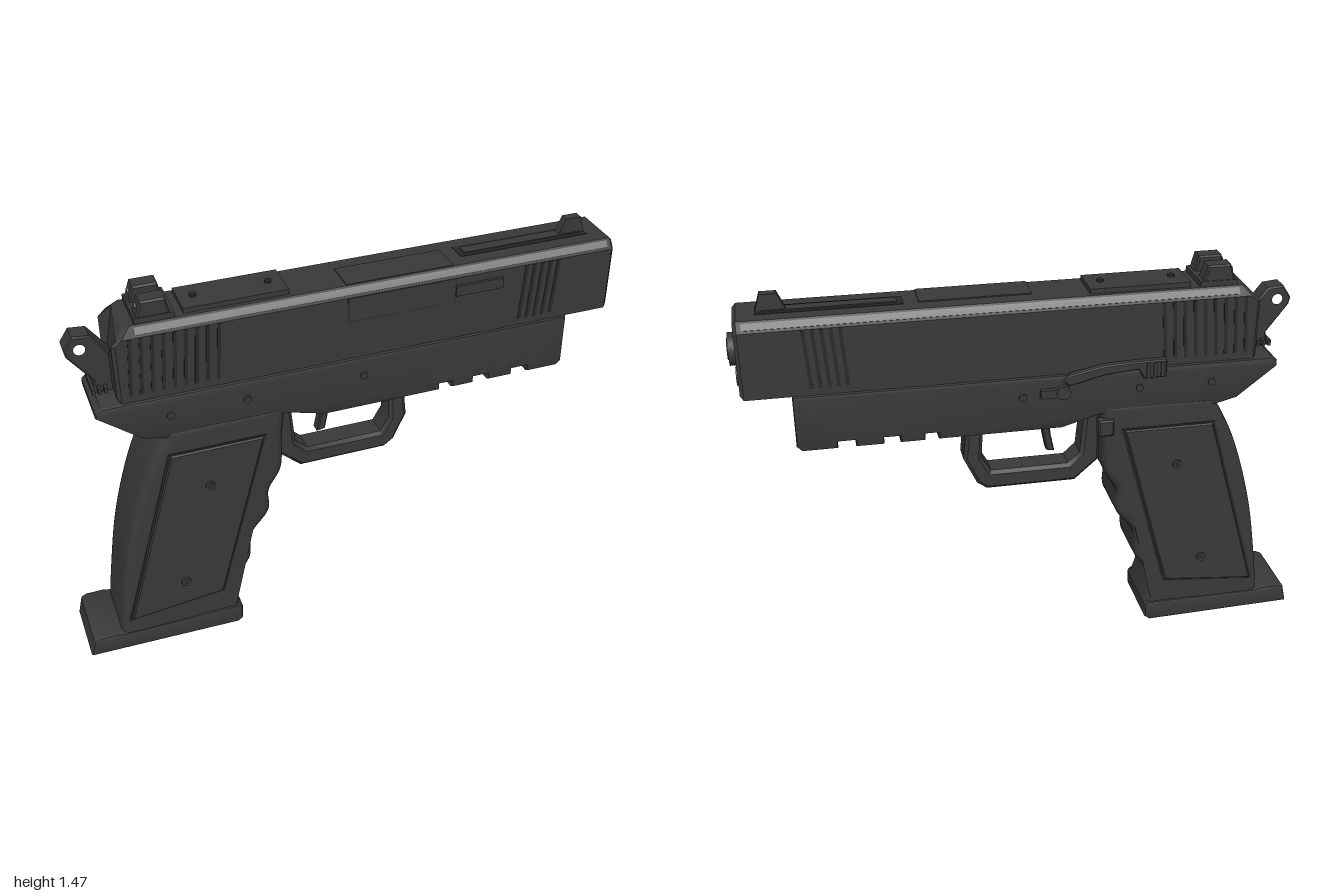
import * as THREE from 'three';
import { toCreasedNormals } from 'three/addons/utils/BufferGeometryUtils.js';

const paint = (name, color) => {
  const m = new THREE.MeshStandardMaterial({ color });
  m.name = name;
  return m;
};

export function createModel() {
  const gun = new THREE.Group();
  gun.name = 'pistol';
  const body = paint('dark grey', 0x393939);
  const dark = paint('groove grey', 0x292929);
  const edge = paint('worn edge grey', 0x777777);

  const add = (name, geo, mat = body) => {
    const m = new THREE.Mesh(geo, mat);
    m.name = name;
    gun.add(m);
    return m;
  };
  const outline = (pts) => new THREE.Shape(pts.map(([x, y]) => new THREE.Vector2(x, y)));

  // Side outline extruded from z0 to z1, with bevels kept inside the outline
  const slab = (name, shape, z0, z1, bevel = 0, mat = body, segments = 1) => {
    const s = Array.isArray(shape) ? outline(shape) : shape;
    const geo = new THREE.ExtrudeGeometry(s, {
      depth: z1 - z0 - 2 * bevel, bevelEnabled: bevel > 0, bevelThickness: bevel,
      bevelSize: bevel, bevelOffset: -bevel, bevelSegments: segments, curveSegments: 10,
    });
    geo.translate(0, 0, z0 + bevel);
    return add(name, toCreasedNormals(geo, 0.6), mat);
  };
  const box = (name, x0, x1, y0, y1, z0, z1, mat = body) => {
    const geo = new THREE.BoxGeometry(x1 - x0, y1 - y0, z1 - z0);
    geo.translate((x0 + x1) / 2, (y0 + y1) / 2, (z0 + z1) / 2);
    return add(name, geo, mat);
  };
  const pin = (name, x, y, z, r, length, mat = body) => {
    const geo = new THREE.CylinderGeometry(r, r, length, 14);
    geo.rotateX(Math.PI / 2).translate(x, y, z);
    return add(name, geo, mat);
  };

  // Slide: chamfered section swept along x, with its upper rear sloped forward
  const half = [[0.11, 1.13], [0.11, 1.34], [0.11, 1.362], [0.085, 1.395]];
  const section = outline([...half, ...half.map(([z, y]) => [-z, y]).reverse()]);
  const slideGeo = new THREE.ExtrudeGeometry(section, {
    depth: 1.74, bevelThickness: 0.012, bevelSize: 0.012, bevelOffset: -0.012, bevelSegments: 1,
  });
  slideGeo.rotateY(Math.PI / 2).translate(-0.78, 0, 0);
  const p = slideGeo.attributes.position;
  for (let i = 0; i < p.count; i++) {
    if (p.getX(i) < 0 && p.getY(i) > 1.34) p.setX(i, p.getX(i) + p.getY(i) - 1.34);
  }
  slideGeo.computeVertexNormals();
  add('slide', slideGeo);

  // Worn strips on the long chamfers
  for (const s of [-1, 1]) {
    const strip = add('slideEdge', new THREE.BoxGeometry(1.66, 0.004, 0.024), edge);
    strip.position.set(0.115, 1.3795, s * 0.098);
    strip.rotation.x = s * 0.92;
  }

  // Slanted grip grooves on both sides of the slide
  for (const s of [-1, 1]) {
    const z0 = s > 0 ? 0.108 : -0.112;
    const groove = (x, y1) => slab('slideGroove',
      [[x, 1.155], [x + 0.012, 1.155], [x + 0.026, y1], [x + 0.014, y1]], z0, z0 + 0.004, 0, dark);
    for (let i = 0; i < 9; i++) groove(-0.755 + i * 0.036, 1.36);
    for (let i = 0; i < 5; i++) groove(0.615 + i * 0.03, 1.36);
  }

  // Ejection port, extractor and top details
  box('portSide', -0.01, 0.37, 1.275, 1.362, 0.106, 0.114);
  box('portTop', -0.01, 0.37, 1.392, 1.399, -0.03, 0.085);
  box('portSeam', -0.014, 0.374, 1.271, 1.362, 0.108, 0.112, dark);
  box('extractor', 0.37, 0.545, 1.297, 1.335, 0.105, 0.12);
  box('topChannel', 0.42, 0.9, 1.392, 1.397, -0.035, 0.035, dark);
  box('topChannelRib', 0.44, 0.88, 1.392, 1.401, -0.02, 0.02);
  box('sightPlate', -0.55, -0.2, 1.39, 1.412, -0.07, 0.07);
  for (const x of [-0.5, -0.25]) {
    const geo = new THREE.CylinderGeometry(0.012, 0.012, 0.012, 12);
    add('plateScrew', geo.translate(x, 1.414, 0), dark);
  }

  // Sights
  slab('frontSight', [[0.795, 1.39], [0.9, 1.39], [0.88, 1.455], [0.825, 1.455]], -0.016, 0.016);
  box('rearSightBase', -0.71, -0.58, 1.385, 1.415, -0.083, 0.083);
  for (const s of [-1, 1]) {
    slab('rearSightPost', [[-0.71, 1.39], [-0.585, 1.39], [-0.605, 1.468], [-0.685, 1.468]],
      s * 0.05 - 0.03, s * 0.05 + 0.03, 0.006);
    const dot = add('sightDot', new THREE.CylinderGeometry(0.009, 0.009, 0.006, 12), edge);
    dot.rotation.z = Math.PI / 2;
    dot.position.set(-0.696, 1.442, s * 0.05);
  }

  // Muzzle and guide rod end
  const disc = (name, x, y, r, length, mat) => {
    const geo = new THREE.CylinderGeometry(r, r, length, 28);
    add(name, geo.rotateZ(Math.PI / 2).translate(x, y, 0), mat);
  };
  disc('barrelEnd', 0.975, 1.27, 0.055, 0.04);
  disc('barrelBore', 0.996, 1.27, 0.036, 0.006, dark);
  disc('guideRod', 0.97, 1.172, 0.032, 0.02);

  // Hammer with a round eye
  const hammer = outline([[-0.93, 1.315], [-0.9, 1.36], [-0.845, 1.355], [-0.78, 1.27], [-0.78, 1.14],
    [-0.86, 1.14], [-0.85, 1.19], [-0.925, 1.29]]);
  hammer.holes.push(new THREE.Path().absarc(-0.88, 1.312, 0.024, 0, Math.PI * 2, true));
  slab('hammer', hammer, -0.035, 0.035, 0.005);
  for (let i = 0; i < 3; i++) box('hammerRidge', -0.862 + i * 0.02, -0.852 + i * 0.02, 1.15, 1.17, -0.06, 0.06);

  // Frame with accessory rail notches cut into its underside
  const rail = [];
  for (const [a, b] of [[0.33, 0.375], [0.46, 0.515], [0.61, 0.67]]) {
    rail.push([a, 0.928], [a, 0.952], [b, 0.952], [b, 0.928]);
  }
  slab('frame', [[-0.87, 1.095], [-0.73, 0.985], [-0.65, 0.965], [-0.23, 0.965], [-0.1, 0.928], ...rail,
    [0.79, 0.928], [0.807, 0.945], [0.807, 1.13], [-0.85, 1.13], [-0.87, 1.115]], -0.12, 0.12, 0.012, body, 2);

  // Trigger guard and trigger
  slab('triggerGuard', [[-0.255, 0.975], [-0.255, 0.755], [-0.165, 0.675], [0.155, 0.675], [0.19, 0.7],
    [0.237, 0.8], [0.222, 0.945], [0.165, 0.945], [0.172, 0.8], [0.14, 0.745], [-0.14, 0.745],
    [-0.183, 0.785], [-0.2, 0.97]], -0.05, 0.05, 0.012);
  slab('trigger', [[-0.075, 0.95], [-0.035, 0.95], [-0.045, 0.9], [-0.065, 0.795], [-0.095, 0.79],
    [-0.08, 0.86]], -0.022, 0.022, 0.005);

  // Grip: smooth back strap and finger waves down the front
  const grip = new THREE.Shape();
  grip.moveTo(-0.88, 0.14);
  grip.splineThru([[-0.87, 0.24], [-0.82, 0.54], [-0.74, 0.81], [-0.645, 1.0]].map((a) => new THREE.Vector2(...a)));
  grip.lineTo(-0.235, 1.0);
  grip.splineThru([[-0.25, 0.88], [-0.258, 0.74], [-0.305, 0.65], [-0.31, 0.56], [-0.375, 0.47], [-0.388, 0.36],
    [-0.45, 0.28], [-0.455, 0.23], [-0.43, 0.14]].map((a) => new THREE.Vector2(...a)));
  slab('grip', grip, -0.124, 0.124, 0.03, body, 4);

  // Grip panels, screws and frame pins on both sides
  for (const s of [-1, 1]) {
    const side = (name, pts, a, b, bevel, mat) => slab(name, pts, s > 0 ? a : -b, s > 0 ? b : -a, bevel, mat);
    side('gripPanelSeam', [[-0.652, 0.906], [-0.312, 0.906], [-0.496, 0.247], [-0.85, 0.212]], 0.12, 0.127, 0, dark);
    side('gripPanel', [[-0.645, 0.9], [-0.322, 0.9], [-0.5, 0.255], [-0.84, 0.22]], 0.115, 0.133, 0.005);
    for (const [x, y] of [[-0.52, 0.75], [-0.635, 0.345]]) {
      pin('gripScrew', x, y, s * 0.133, 0.017, 0.018);
      pin('screwSlot', x, y, s * 0.1405, 0.009, 0.004, dark);
    }
    for (const [x, y] of [[-0.63, 1.06], [-0.37, 1.06], [0.04, 1.06]]) pin('framePin', x, y, s * 0.12, 0.013, 0.016);
  }

  // Controls on the right side
  slab('slideStop', [[-0.46, 1.1], [-0.38, 1.1], [-0.36, 1.135], [-0.24, 1.125], [-0.12, 1.095], [-0.1, 1.11],
    [-0.12, 1.135], [-0.24, 1.16], [-0.36, 1.165], [-0.46, 1.165]], -0.14, -0.112, 0.004);
  for (let i = 0; i < 3; i++) box('slideStopRidge', -0.45 + i * 0.025, -0.437 + i * 0.025, 1.105, 1.16, -0.145, -0.138);
  box('takedownLever', -0.09, -0.02, 1.055, 1.085, -0.137, -0.115);
  pin('takedownPivot', -0.1, 1.07, -0.125, 0.025, 0.026);
  slab('magazineButton', [[-0.28, 0.89], [-0.225, 0.89], [-0.225, 0.95], [-0.28, 0.95]], -0.14, -0.1, 0.005);

  // Magazine base and lanyard ring
  slab('magazineBase', [[-1, 0.09], [-0.985, 0.155], [-0.965, 0.165], [-0.9, 0.165], [-0.87, 0.157], [-0.44, 0.157],
    [-0.43, 0.145], [-0.432, 0.09], [-0.45, 0.076]], -0.13, 0.13, 0.012, body, 2);
  const ring = new THREE.TorusGeometry(0.04, 0.009, 8, 28);
  add('lanyardRing', ring.translate(-0.905, 0.049, 0));

  return gun;
}
